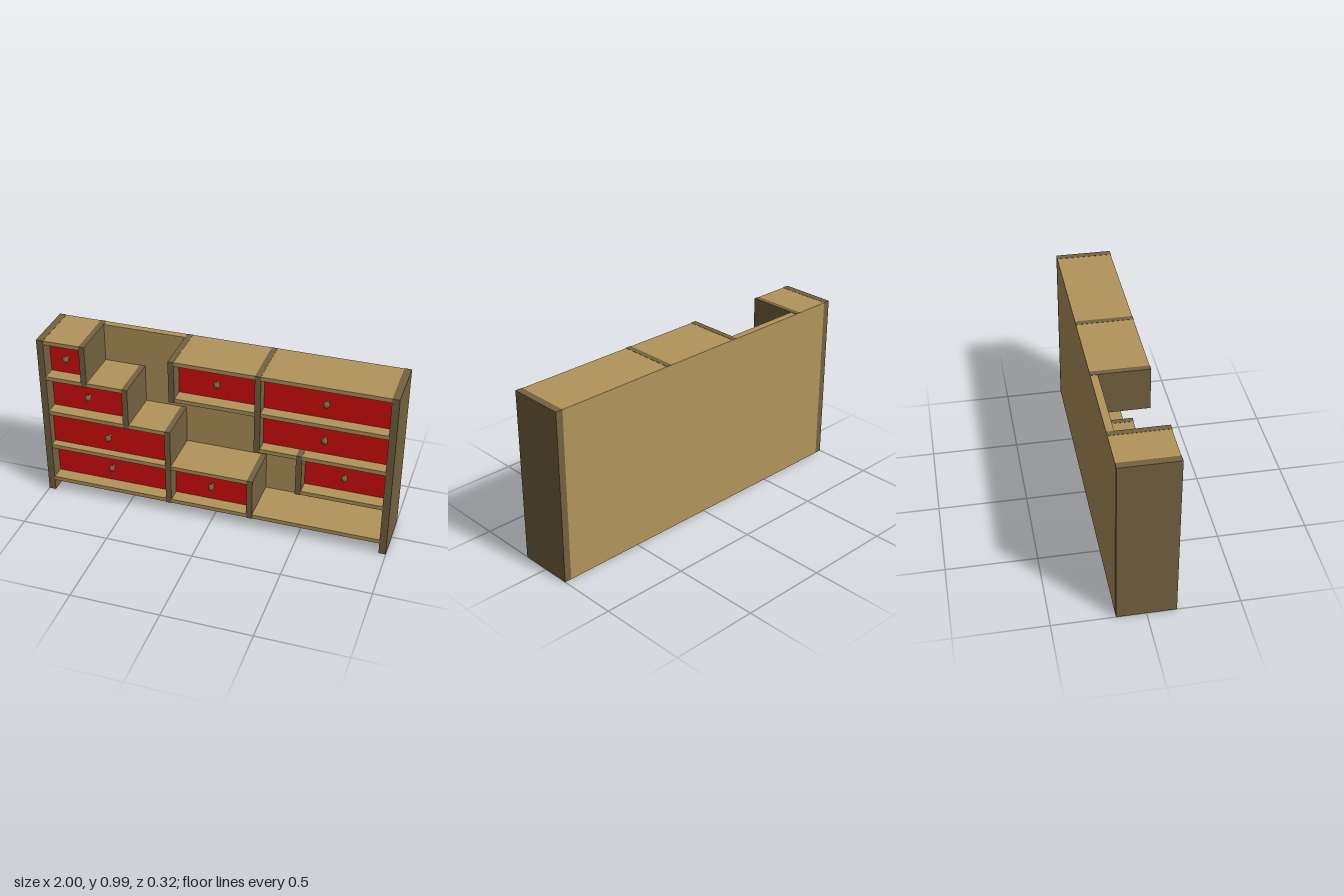
import * as THREE from 'three';

export function createModel() {
  const group = new THREE.Group();
  const material = (name, color) => {
    const m = new THREE.MeshStandardMaterial({ color });
    m.name = name;
    return m;
  };
  const wood = material('light wood', 0xb2955c);
  const darkWood = material('dark wood', 0x746240);
  const red = material('red drawer', 0xd80e0e);

  // Box given by its lower and upper corner on each axis
  const box = (name, mat, x0, x1, y0, y1, z0, z1) => {
    const mesh = new THREE.Mesh(new THREE.BoxGeometry(x1 - x0, y1 - y0, z1 - z0), mat);
    mesh.position.set((x0 + x1) / 2, (y0 + y1) / 2, (z0 + z1) / 2);
    mesh.name = name;
    group.add(mesh);
  };

  const pitch = 0.225, board = 0.025, base = 0.065, inner = 0.96, post = 0.033;
  const shelfY = (level) => base + level * pitch;

  // Tall side panels and the back panel between them
  for (const s of [-1, 1]) {
    const x = s * (1 + inner) / 2;
    box(s < 0 ? 'rightSide' : 'leftSide', darkWood, x - 0.02, x + 0.02, 0, 0.99, -0.16, 0.16);
  }
  box('backPanel', wood, -inner, inner, 0, 0.988, -0.16, -0.12);

  // Shelves: level, left end, right end
  const shelves = [
    [0, -inner, inner],
    [1, -inner, 0.22], [1, 0.49, inner],
    [2, -inner, -0.255], [2, 0.257, inner],
    [3, -inner, -0.5], [3, -0.225, inner],
    [4, -inner, -0.735], [4, -0.225, inner],
  ];
  for (const [level, x0, x1] of shelves) {
    const y = shelfY(level);
    box('shelf', wood, x0, x1, y, y + board - 0.001, level === 4 ? -0.159 : -0.125, 0.158);
  }

  // Uprights: centre x, lower level, upper level
  const uprights = [
    [-0.735, 3, 4], [-0.497, 2, 3], [-0.255, 0, 2], [0.22, 0, 1],
    [0.493, 1, 2], [0.257, 2, 4], [-0.224, 3, 4],
  ];
  for (const [x, low, high] of uprights) {
    const z0 = high === 4 ? -0.159 : -0.125;
    box('upright', darkWood, x - post / 2, x + post / 2,
      shelfY(low) - 0.001, shelfY(high) + board, z0, 0.16);
  }

  // Drawers: level, left end, right end, front z
  const drawers = [
    [0, -inner, -0.271, 0.08], [0, -0.239, 0.204, 0.08],
    [1, -inner, -0.271, 0.11], [1, 0.509, inner, 0.08],
    [2, -inner, -0.513, 0.08], [2, 0.273, inner, 0.09],
    [3, -inner, -0.751, 0.08], [3, -0.208, 0.241, 0.08], [3, 0.273, inner, 0.09],
  ];
  const stemGeometry = new THREE.CylinderGeometry(0.009, 0.009, 0.03, 12).rotateX(Math.PI / 2);
  const ballGeometry = new THREE.SphereGeometry(0.018, 16, 12);
  for (const [level, x0, x1, z] of drawers) {
    const y0 = shelfY(level) + board - 0.001, y1 = shelfY(level + 1);
    box('drawer', red, x0, x1, y0, y1, -0.12, z);

    // Round knob on a short stem
    const knob = new THREE.Group();
    knob.name = 'knob';
    const stem = new THREE.Mesh(stemGeometry, darkWood);
    stem.name = 'knobStem';
    stem.position.z = 0.012;
    const ball = new THREE.Mesh(ballGeometry, darkWood);
    ball.name = 'knobBall';
    ball.position.z = 0.032;
    knob.add(stem, ball);
    knob.position.set((x0 + x1) / 2, (y0 + y1) / 2, z);
    group.add(knob);
  }
  return group;
}
